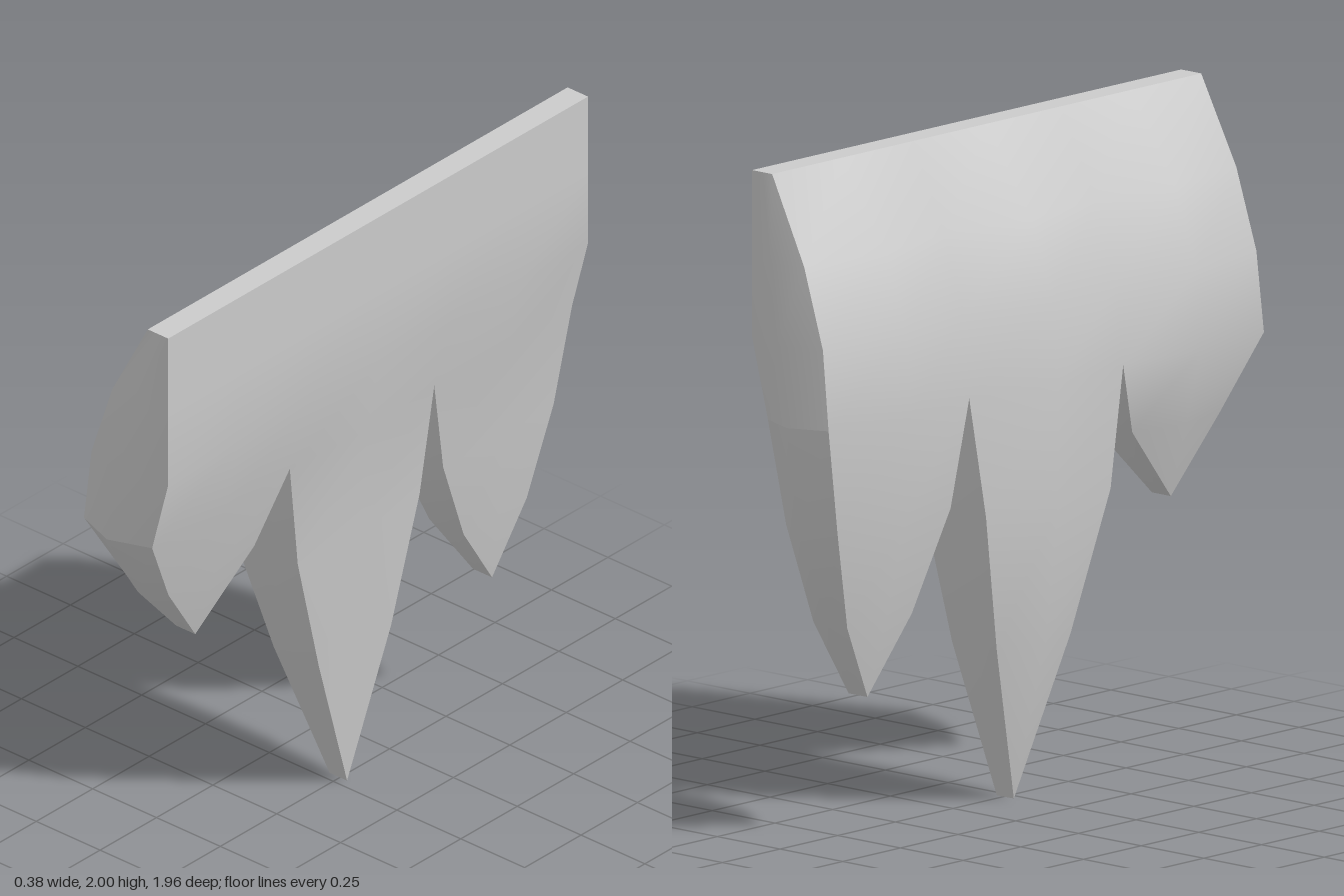
import * as THREE from 'three';
import { mergeGeometries, mergeVertices } from 'three/addons/utils/BufferGeometryUtils.js';

// Smooth patch from rows (top to bottom) of points (left to right, seen from outside)
function grid(rows) {
  const n = rows[0].length, index = [];
  for (let r = 0; r < rows.length - 1; r++) {
    for (let c = 0; c < n - 1; c++) {
      const a = r * n + c, b = a + n;
      index.push(a, b, a + 1, b, b + 1, a + 1);
    }
  }
  const g = new THREE.BufferGeometry();
  g.setAttribute('position', new THREE.Float32BufferAttribute(rows.flat(2), 3));
  g.setIndex(index);
  return g;
}

// Shared cross-section of the slab above the notches
const upper = [
  // y, back edge x, back middle x, front edge x, front middle x, end bulge, weight of depth offset
  [2.00, 0.105, 0.105, 0.185, 0.185, 0, 0],
  [1.74, -0.035, -0.075, 0.185, 0.185, 0.035, 0.5],
  [1.50, -0.115, -0.16, 0.185, 0.185, 0.048, 0.7],
  [1.26, -0.145, -0.18, 0.122, 0.145, 0.05, 1],
];

// zA / zB: sides towards +z / -z; dA, dM, dB: depth offsets of the back
// lower rows: y, zA, zB, back edge, back middle, front edge, front middle, end bulge
const teeth = [
  { name: 'shortTooth', zA: 0.94, zB: 0.33, dA: 0, dM: 0.005, dB: 0, outer: 'A', lower: [
    [1.03, 0.82, 0.44, -0.08, -0.12, 0.08, 0.095, 0.045],
    [0.80, 0.645, 0.645, -0.045, -0.045, 0.03, 0.03, 0]] },
  { name: 'longTooth', zA: 0.33, zB: -0.31, dA: 0, dM: 0, dB: 0.025, outer: '', lower: [
    [0.90, 0.27, -0.27, -0.15, -0.19, 0.1, 0.112, 0],
    [0.48, 0.14, -0.18, -0.11, -0.155, 0.068, 0.072, 0],
    [0.00, -0.03, -0.03, -0.04, -0.04, 0.028, 0.028, 0]] },
  { name: 'mediumTooth', zA: -0.31, zB: -0.92, dA: 0.025, dM: 0.01, dB: 0.025, outer: 'B', lower: [
    [0.94, -0.38, -0.87, -0.11, -0.15, 0.095, 0.11, 0.06],
    [0.64, -0.51, -0.79, -0.075, -0.1, 0.06, 0.07, 0.01],
    [0.41, -0.67, -0.67, -0.045, -0.045, 0.03, 0.03, 0]] },
];

// Expand a tooth into full-height rows of named points
function sections(t) {
  const rows = [
    ...upper.map(([y, be, bm, fe, fm, bulge, w]) =>
      ({ y, zA: t.zA, zB: t.zB, bA: be + t.dA * w, bM: bm + t.dM * w, bB: be + t.dB * w, fe, fm, bulge })),
    ...t.lower.map(([y, zA, zB, be, bm, fe, fm, bulge]) =>
      ({ y, zA, zB, bA: be, bM: bm, bB: be, fe, fm, bulge })),
  ];
  return rows.map((s) => {
    const zM = (s.zA + s.zB) / 2;
    const outA = t.outer === 'A' ? s.bulge : 0, outB = t.outer === 'B' ? s.bulge : 0;
    return {
      front: [[s.fe, s.y, s.zA], [s.fm, s.y, zM], [s.fe, s.y, s.zB]],
      back: [[s.bB, s.y, s.zB], [s.bM, s.y, zM], [s.bA, s.y, s.zA]],
      A: [[s.bA, s.y, s.zA], [(s.bA + s.fe) / 2, s.y, s.zA + outA], [s.fe, s.y, s.zA]],
      B: [[s.fe, s.y, s.zB], [(s.bB + s.fe) / 2, s.y, s.zB - outB], [s.bB, s.y, s.zB]],
    };
  });
}

export function createModel() {
  const model = new THREE.Group();
  const material = new THREE.MeshStandardMaterial({ color: 0xcccccc });
  const add = (name, patches) => {
    const g = mergeVertices(mergeGeometries(patches.map(grid)));
    g.computeVertexNormals();
    const mesh = new THREE.Mesh(g, material);
    mesh.name = name;
    model.add(mesh);
  };
  const all = teeth.map(sections);

  // Broad faces, smooth across all three teeth
  add('frontFace', all.map((rows) => rows.map((r) => r.front)));
  add('curvedBackFace', all.map((rows) => rows.map((r) => r.back)));

  // Tooth sides and bulging slab ends
  teeth.forEach((t, i) => {
    for (const side of ['A', 'B']) {
      const wall = all[i].map((r) => r[side]);
      add(t.name + 'Side' + side, [wall.slice(3)]);
      if (t.outer === side) add('slabEnd' + side, [wall.slice(0, 4)]);
    }
  });

  // Flat top strip
  add('topStrip', [[
    [[0.105, 2, -0.92], [0.185, 2, -0.92]],
    [[0.105, 2, 0.94], [0.185, 2, 0.94]],
  ]]);
  return model;
}
